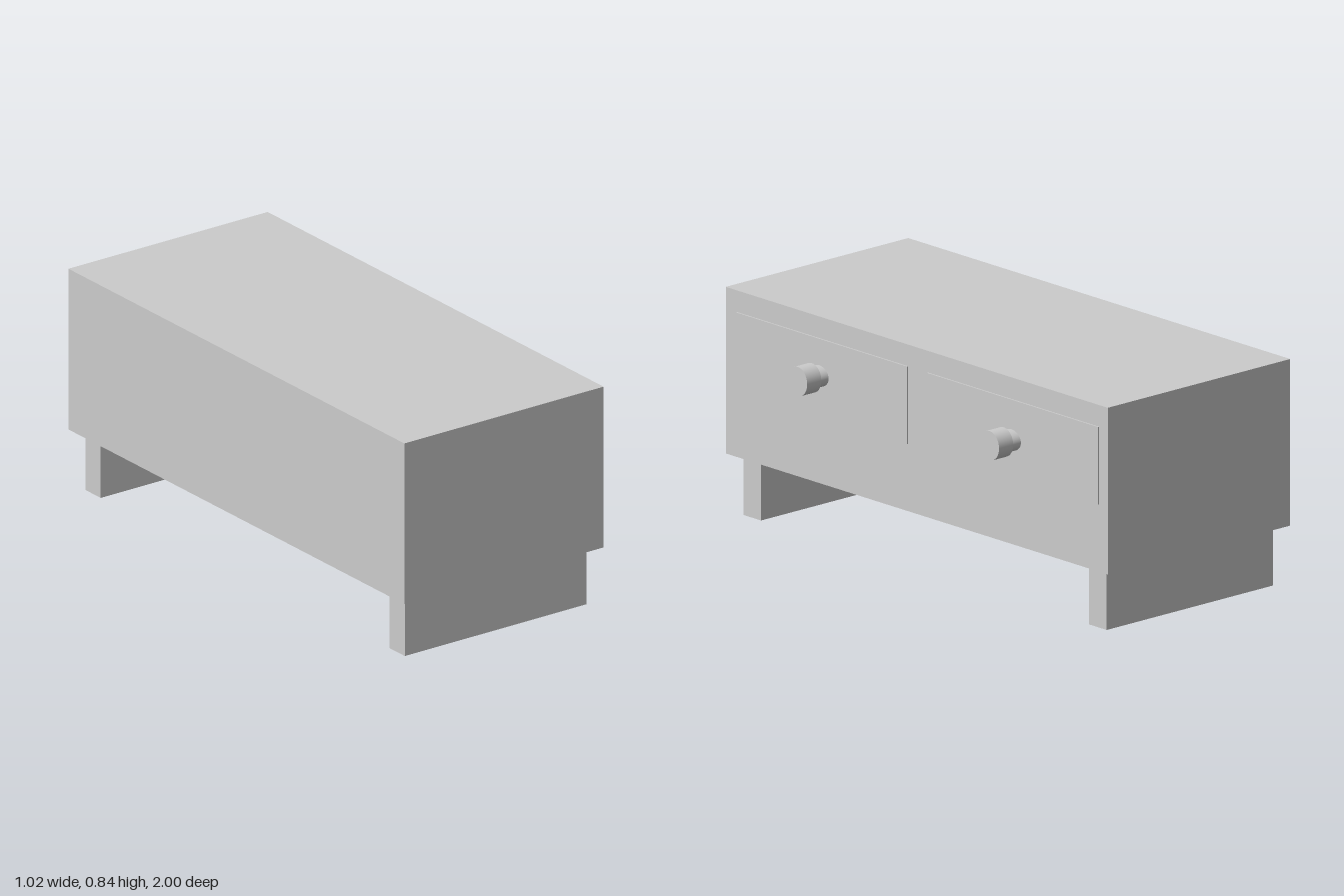
import * as THREE from 'three';

export function createModel() {
  const model = new THREE.Group();
  model.name = 'drawerBench';
  const paint = new THREE.MeshStandardMaterial({ color: 0xcccccc });
  paint.name = 'light grey';

  // Box given by its extents along each axis
  function box(name, [x0, x1], [y0, y1], [z0, z1]) {
    const mesh = new THREE.Mesh(new THREE.BoxGeometry(x1 - x0, y1 - y0, z1 - z0), paint);
    mesh.position.set((x0 + x1) / 2, (y0 + y1) / 2, (z0 + z1) / 2);
    mesh.name = name;
    model.add(mesh);
  }

  // Slightly oval cylinder lying along x
  function disc(name, x0, x1, ry, rz) {
    const geometry = new THREE.CylinderGeometry(1, 1, x1 - x0, 32);
    geometry.rotateZ(-Math.PI / 2);
    geometry.scale(1, ry, rz);
    const mesh = new THREE.Mesh(geometry, paint);
    mesh.position.x = (x0 + x1) / 2;
    mesh.name = name;
    return mesh;
  }

  // Cabinet and its two plank feet
  box('cabinet', [-0.508, 0.37], [0.225, 0.842], [-1, 1]);
  for (const side of [-1, 1]) {
    const z = side * 0.905;
    box('foot', [-0.47, 0.33], [0, 0.225], [z - 0.046, z + 0.046]);
  }

  // Raised drawer fronts, each with a stepped round knob
  const drawers = [
    { z: [0.045, 0.94], knobZ: 0.505, knobX: 0.374 },
    { z: [-0.955, -0.06], knobZ: -0.53, knobX: 0.402 },
  ];
  for (const { z, knobZ, knobX } of drawers) {
    box('drawerFront', [0.365, 0.376], [0.475, 0.762], z);
    const knob = new THREE.Group();
    knob.name = 'knob';
    knob.add(disc('knobStem', 0, 0.037, 0.039, 0.05));
    knob.add(disc('knobHead', 0.037, 0.105, 0.054, 0.05));
    knob.position.set(knobX, 0.625, knobZ);
    model.add(knob);
  }
  return model;
}
